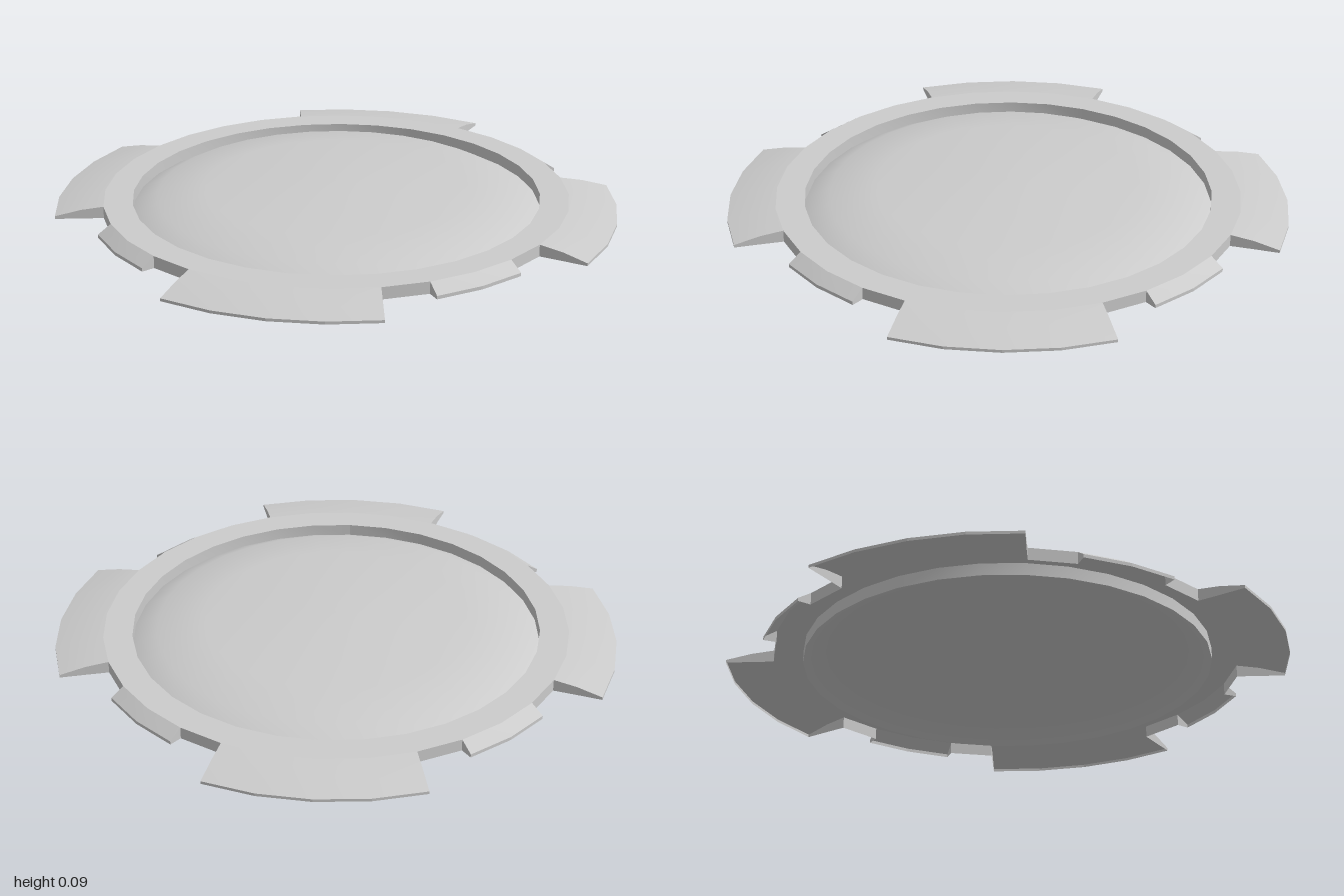
import * as THREE from 'three';

const material = new THREE.MeshStandardMaterial({ color: 0xcccccc, side: THREE.DoubleSide });
const STEP = Math.PI / 16; // 32 sides
const INNER = 0.727, OUTER = 0.83, TOP = 0.043;

// A row of points on an arc, between two angles counted in steps
function arc(r, y, from, to, count) {
  const row = [];
  for (let i = 0; i <= count; i++) {
    const a = (from + ((to - from) * i) / count) * STEP;
    row.push([Math.sin(a) * r, y, Math.cos(a) * r]);
  }
  return row;
}

// Skin between rows of equal length
function loft(rows, smooth) {
  const n = rows[0].length, index = [];
  for (let i = 0; i < rows.length - 1; i++) {
    for (let j = 0; j < n - 1; j++) {
      const a = i * n + j, b = a + n;
      index.push(a, b, b + 1, a, b + 1, a + 1);
    }
  }
  let geometry = new THREE.BufferGeometry();
  geometry.setAttribute('position', new THREE.Float32BufferAttribute(rows.flat(2), 3));
  geometry.setIndex(index);
  if (!smooth) geometry = geometry.toNonIndexed();
  geometry.computeVertexNormals();
  return geometry;
}

// Vertical wall from an edge down to the ground
function skirt(edge) {
  return loft([edge, edge.map(([x, , z]) => [x, 0, z])], false);
}

// Sloped tab with a skirt on its three free sides
function addTab(parent, name, rows) {
  const inside = rows.slice(0, -1);
  const edge = [
    ...inside.map((row) => row[0]),
    ...rows[rows.length - 1],
    ...inside.map((row) => row[row.length - 1]).reverse(),
  ];
  const tab = new THREE.Group();
  tab.name = name;
  add(tab, name + 'Top', loft(rows, true));
  add(tab, name + 'Edge', skirt(edge));
  parent.add(tab);
}

function add(parent, name, geometry) {
  const mesh = new THREE.Mesh(geometry, material);
  mesh.name = name;
  parent.add(mesh);
}

export function createModel() {
  const model = new THREE.Group();
  model.name = 'domedDisc';

  // Shallow dome rising from the ground inside the ring
  const profile = [[INNER, 0], [0.64, 0.045], [0.47, 0.069], [0.15, 0.084], [0, 0.085]];
  add(model, 'dome', new THREE.LatheGeometry(profile.map((p) => new THREE.Vector2(...p)), 32));

  // Flat ring and its inner wall, open underneath
  add(model, 'ringTop', loft([arc(INNER, TOP, 0, 32, 32), arc(OUTER, TOP, 0, 32, 32)], false));
  add(model, 'ringInnerWall', loft([arc(INNER, 0, 0, 32, 32), arc(INNER, TOP, 0, 32, 32)], true));

  // Each quarter: a wide tab, a small diagonal tab and the two gaps between them
  for (let i = 0; i < 4; i++) {
    const quarter = new THREE.Group();
    quarter.name = 'quarter' + (i + 1);
    quarter.rotation.y = (i * Math.PI) / 2;
    addTab(quarter, 'wideTab', [
      arc(OUTER, TOP, -2, 2, 4),
      arc(0.91, 0.032, -1.94, 1.94, 4),
      arc(1, 0.01, -1.89, 1.89, 4),
    ]);
    addTab(quarter, 'smallTab', [
      arc(OUTER, TOP, 3, 5, 2),
      arc(0.877, 0.012, 3.02, 4.98, 2),
    ]);
    add(quarter, 'gapWall', skirt(arc(OUTER, TOP, 2, 3, 1)));
    add(quarter, 'gapWall', skirt(arc(OUTER, TOP, 5, 6, 1)));
    model.add(quarter);
  }
  return model;
}
